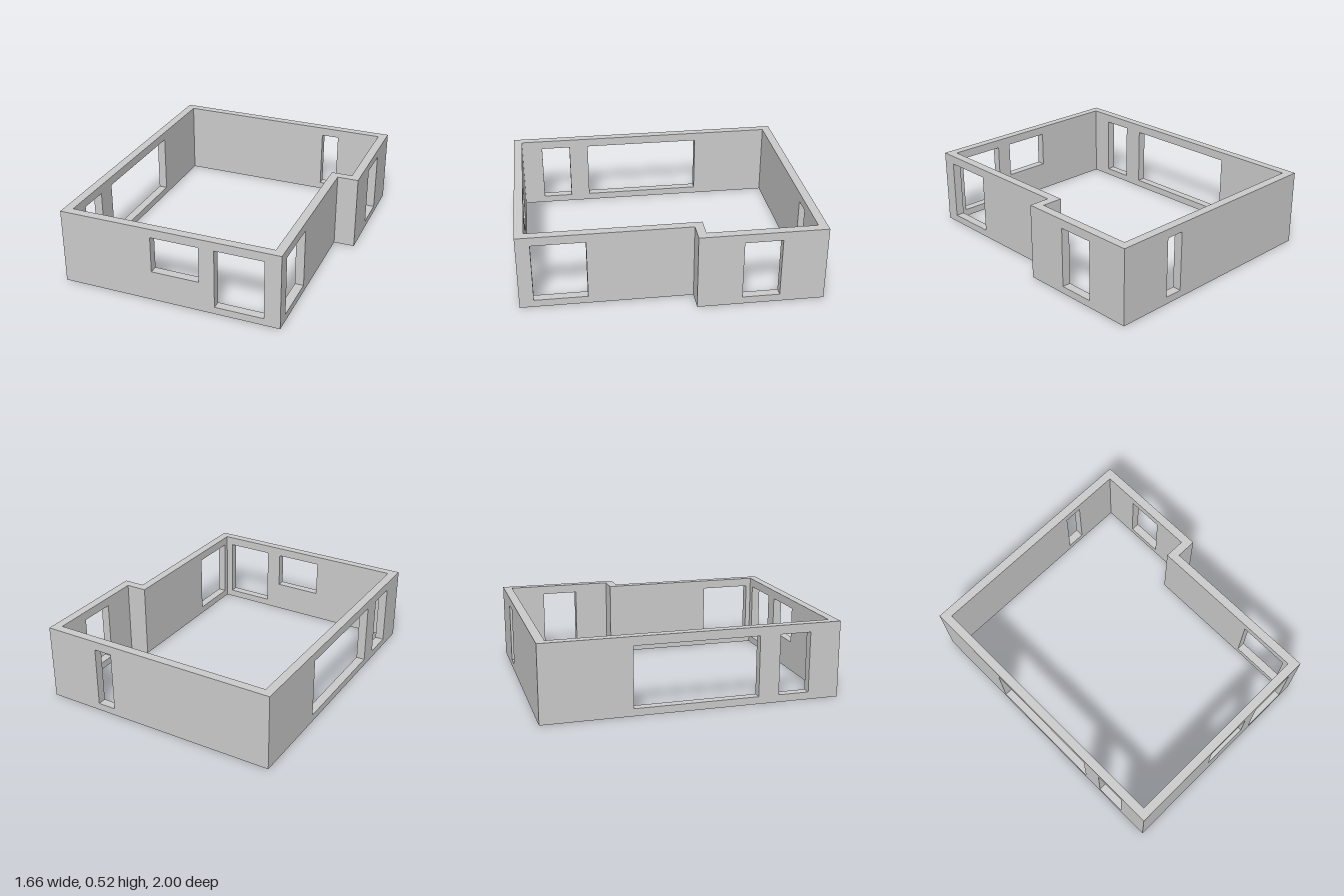
import * as THREE from 'three';

const HEIGHT = 0.52, THICK = 0.06;
const SILL = 0.05, HEAD = 0.46;

// Footprint corners [x, z], counterclockwise from above; outer and inner lists match
const outer = [[-0.83, 1], [0.685, 1], [0.685, -0.15], [0.83, -0.15], [0.83, -1], [-0.83, -1]];
const inner = [[-0.77, 0.94], [0.625, 0.94], [0.625, -0.21], [0.77, -0.21], [0.77, -0.94], [-0.77, -0.94]];

// Openings: [from, to, bottom] along the wall's world axis (x or z)
const walls = [
  { name: 'frontWall', openings: [[-0.19, 0.14, 0.21], [0.245, 0.577, SILL]] },
  { name: 'leftFrontWall', openings: [[0.55, 0.905, SILL]] },
  { name: 'stepWall', openings: [] },
  { name: 'leftBackWall', openings: [[-0.7, -0.45, SILL]] },
  { name: 'backWall', openings: [[0.33, 0.456, SILL]] },
  { name: 'rightWall', openings: [[-0.4, 0.44, SILL], [0.58, 0.79, SILL]] },
];

function rectangle(path, u0, u1, y0, y1) {
  path.moveTo(u0, y0);
  path.lineTo(u1, y0);
  path.lineTo(u1, y1);
  path.lineTo(u0, y1);
  path.closePath();
  return path;
}

// A wall panel with openings, extruded and mitred to meet its neighbours
function wallGeometry(i, openings) {
  const j = (i + 1) % outer.length;
  const a = outer[i], b = outer[j];
  const length = Math.hypot(b[0] - a[0], b[1] - a[1]);
  const dx = (b[0] - a[0]) / length, dz = (b[1] - a[1]) / length;
  const axis = Math.abs(dx) > 0.5 ? 0 : 1;
  const along = (c) => (c - a[axis]) * (axis ? dz : dx);

  const shape = rectangle(new THREE.Shape(), 0, length, 0, HEIGHT);
  for (const [from, to, bottom] of openings) {
    const [u0, u1] = [along(from), along(to)].sort((p, q) => p - q);
    shape.holes.push(rectangle(new THREE.Path(), u0, u1, bottom, HEAD));
  }
  const source = new THREE.ExtrudeGeometry(shape, { depth: THICK, bevelEnabled: false });
  const pos = source.getAttribute('position');
  const atStart = (v) => pos.getX(v) < 1e-4;
  const atEnd = (v) => pos.getX(v) > length - 1e-4;

  const points = [];
  for (let t = 0; t < pos.count; t += 3) {
    const tri = [t, t + 1, t + 2];
    // Leave out the end faces hidden inside the corner joints
    if (tri.every(atStart) || tri.every(atEnd)) continue;
    for (const v of tri) {
      const u = pos.getX(v);
      let x = a[0] + dx * u, z = a[1] + dz * u;
      if (pos.getZ(v) < THICK / 2) {
        if (atStart(v)) [x, z] = inner[i];
        else if (atEnd(v)) [x, z] = inner[j];
        else {
          x += dz * THICK;
          z -= dx * THICK;
        }
      }
      points.push(x, pos.getY(v), z);
    }
  }
  const geometry = new THREE.BufferGeometry();
  geometry.setAttribute('position', new THREE.Float32BufferAttribute(points, 3));
  geometry.computeVertexNormals();
  return geometry;
}

export function createModel() {
  const group = new THREE.Group();
  group.name = 'houseWalls';
  const material = new THREE.MeshStandardMaterial({ color: 0xcccccc, flatShading: true });
  walls.forEach(({ name, openings }, i) => {
    const mesh = new THREE.Mesh(wallGeometry(i, openings), material);
    mesh.name = name;
    group.add(mesh);
  });
  return group;
}
